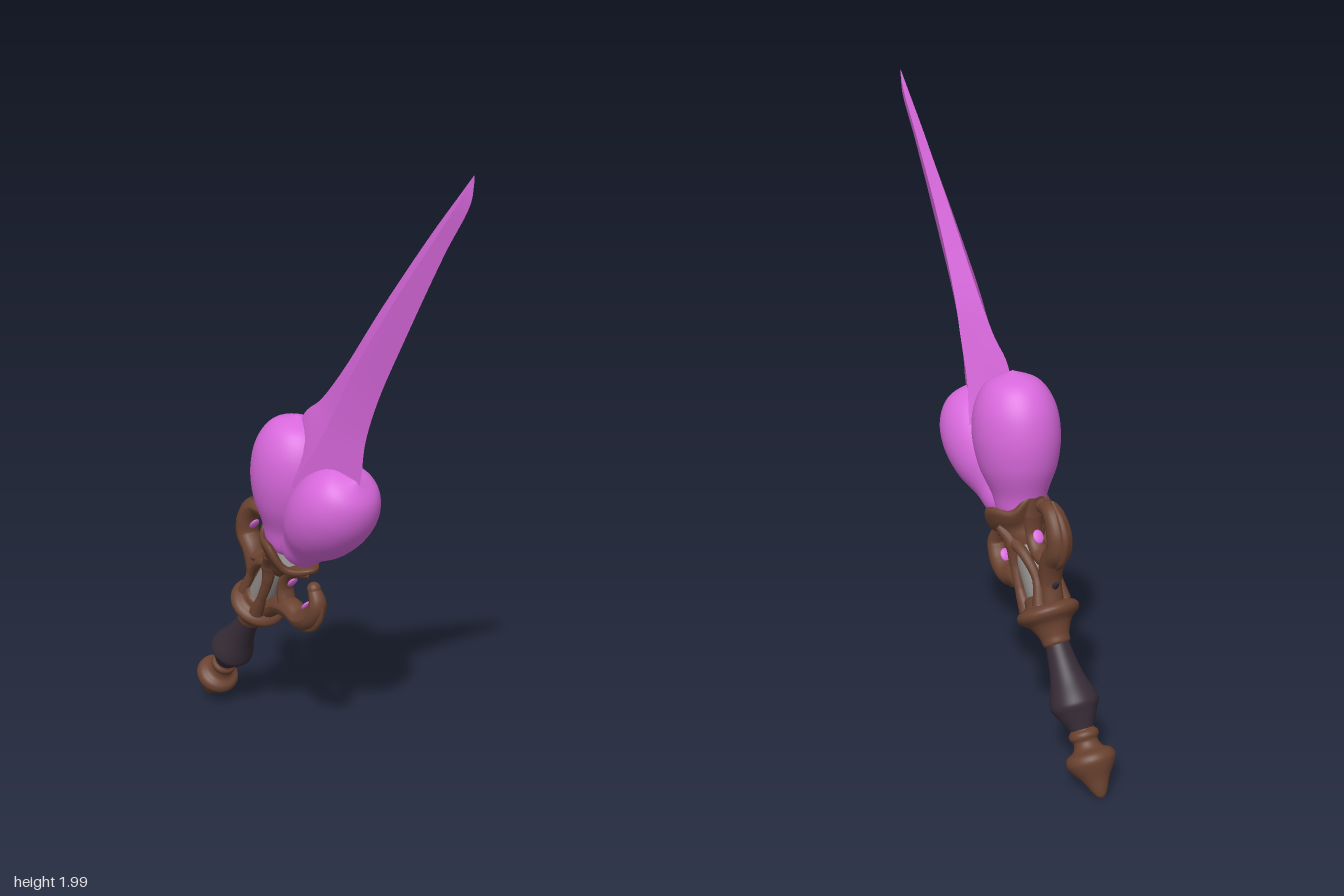
import * as THREE from 'three';

const mat = (name, color, side = THREE.FrontSide) => {
  const m = new THREE.MeshStandardMaterial({ color, side });
  m.name = name;
  return m;
};
const V = (x, y, z = 0) => new THREE.Vector3(x, y, z);

// Smoothed lathe through [radius, height] points
function lathe(points, samples = 40, segments = 40) {
  const curve = new THREE.CatmullRomCurve3(points.map(p => V(p[0], p[1])), false, 'centripetal');
  const profile = curve.getPoints(samples).map(p => new THREE.Vector2(Math.max(p.x, 0), p.y));
  return new THREE.LatheGeometry(profile, segments);
}

// Tube whose radius follows a list of values along its length
function taperedTube(points, radii, depth = 1, segs = 48, sides = 14) {
  const curve = new THREE.CatmullRomCurve3(points);
  const geo = new THREE.TubeGeometry(curve, segs, 1, sides);
  const pos = geo.attributes.position, p = new THREE.Vector3();
  for (let i = 0; i <= segs; i++) {
    const c = curve.getPointAt(i / segs);
    const f = (i / segs) * (radii.length - 1), k = Math.min(Math.floor(f), radii.length - 2);
    const r = THREE.MathUtils.lerp(radii[k], radii[k + 1], f - k);
    for (let j = 0; j <= sides; j++) {
      const n = i * (sides + 1) + j;
      p.fromBufferAttribute(pos, n).sub(c).multiplyScalar(r);
      pos.setXYZ(n, c.x + p.x, c.y + p.y, c.z + p.z * depth);
    }
  }
  geo.computeVertexNormals();
  return geo;
}

// Four-sided blade: each side is its own strip so that the ridges stay sharp
function bladeGeometry() {
  // left edge x,y | ridge x,y,z | right edge x,y
  const stations = [
    [-0.12, 1.08, 0.0, 1.0, 0.10, 0.16, 0.95],
    [-0.06, 1.205, 0.07, 1.12, 0.07, 0.21, 1.04],
    [0.02, 1.265, 0.14, 1.24, 0.055, 0.235, 1.18],
    [0.12, 1.37, 0.2, 1.36, 0.045, 0.29, 1.32],
    [0.3, 1.595, 0.345, 1.58, 0.028, 0.40, 1.52],
    [0.5, 1.83, 0.52, 1.81, 0.014, 0.555, 1.785],
    [0.61, 1.95, 0.62, 1.94, 0.008, 0.645, 1.925],
    [0.654, 1.998, 0.655, 1.997, 0.001, 0.656, 1.985],
  ];
  const rails = [
    s => V(s[0], s[1]), s => V(s[2], s[3], s[4]),
    s => V(s[5], s[6]), s => V(s[2], s[3], -s[4]),
  ].map(f => new THREE.CatmullRomCurve3(stations.map(f)));
  const N = 42, verts = [], index = [];
  for (let e = 0; e < 4; e++) {
    const base = verts.length / 3;
    for (let i = 0; i <= N; i++) {
      const a = rails[e].getPoint(i / N), b = rails[(e + 1) % 4].getPoint(i / N);
      verts.push(a.x, a.y, a.z, b.x, b.y, b.z);
      if (i < N) {
        const p = base + i * 2;
        index.push(p, p + 1, p + 3, p, p + 3, p + 2);
      }
    }
  }
  const geo = new THREE.BufferGeometry();
  geo.setAttribute('position', new THREE.Float32BufferAttribute(verts, 3));
  geo.setIndex(index);
  geo.computeVertexNormals();
  return geo;
}

export function createModel() {
  const crystal = mat('pink crystal', 0xd868dc);
  const bronze = mat('brown bronze', 0x6a4230);
  const bronzeShell = mat('brown bronze', 0x6a4230, THREE.DoubleSide);
  bronzeShell.name = 'brown bronze shell';
  const leather = mat('dark leather', 0x372c37);
  const steel = mat('grey steel', 0x8e8986);

  const model = new THREE.Group();
  model.name = 'crystalDagger';
  const add = (parent, name, geo, material) => {
    const m = new THREE.Mesh(geo, material);
    m.name = name;
    parent.add(m);
    return m;
  };

  // Crystal blade and its two swollen lobes
  add(model, 'blade', bladeGeometry(), crystal);
  const lobe = lathe([[0, -0.03], [0.07, 0], [0.097, 0.08], [0.135, 0.17], [0.15, 0.27],
    [0.135, 0.36], [0.09, 0.425], [0, 0.46]], 48, 48);
  const placeLobe = (name, x, y, angle, sx, sy, sz) => {
    const m = add(model, name, lobe, crystal);
    m.position.set(x, y, 0);
    m.rotation.z = angle;
    m.scale.set(sx, sy, sz);
  };
  placeLobe('rightLobe', -0.15, 0.735, -0.12, 1, 1, 0.88);
  placeLobe('leftLobe', -0.09, 0.74, -0.75, 0.9, 0.93, 0.93);

  // Hilt, built upright and then leaned over
  const hilt = new THREE.Group();
  hilt.name = 'hilt';
  hilt.position.set(-0.652, 0.004, 0);
  hilt.rotation.z = -THREE.MathUtils.degToRad(35);
  model.add(hilt);

  add(hilt, 'pommel', lathe([[0, 0], [0.015, 0.01], [0.042, 0.06], [0.07, 0.1], [0.077, 0.118],
    [0.07, 0.138], [0.046, 0.152], [0.038, 0.175], [0.046, 0.188], [0.046, 0.2],
    [0.038, 0.21], [0.034, 0.225]]), bronze);
  add(hilt, 'grip', lathe([[0.036, 0.21], [0.043, 0.225], [0.062, 0.26], [0.076, 0.287],
    [0.073, 0.31], [0.055, 0.365], [0.044, 0.42], [0.037, 0.485]]), leather);
  add(hilt, 'collar', lathe([[0.03, 0.47], [0.042, 0.478], [0.046, 0.5], [0.066, 0.54],
    [0.094, 0.563], [0.099, 0.578], [0.09, 0.592], [0.066, 0.605], [0.058, 0.63], [0, 0.645]]), bronze);

  // Steel core between the struts
  const core = add(hilt, 'core', new THREE.CylinderGeometry(0.05, 0.05, 0.2, 24), steel);
  core.position.y = 0.73;

  // Wavy crown that holds the crystal
  const crownGeo = lathe([[0.05, 0.79], [0.06, 0.815], [0.07, 0.845], [0.1, 0.875], [0.12, 0.9],
    [0.115, 0.915], [0.085, 0.9]], 30, 64);
  const cp = crownGeo.attributes.position;
  for (let i = 0; i < cp.count; i++) {
    const x = cp.getX(i), y = cp.getY(i), z = cp.getZ(i);
    const w = THREE.MathUtils.smoothstep(y, 0.83, 0.91), c = Math.cos(4 * Math.atan2(z, x));
    cp.setXYZ(i, x * (1 + w * (0.06 + 0.06 * c)), y + w * 0.018 * c, z * (1 - w * (0.16 - 0.05 * c)));
  }
  crownGeo.computeVertexNormals();
  add(hilt, 'crown', crownGeo, bronzeShell);

  for (const s of [-1, 1]) {
    // Curled hook
    const tip = V(s * 0.165, 0.878);
    add(hilt, 'hook', taperedTube([V(s * 0.045, 0.6), V(s * 0.075, 0.665), V(s * 0.125, 0.715),
      V(s * 0.185, 0.738), V(s * 0.214, 0.79), V(s * 0.208, 0.85), tip],
    [0.034, 0.032, 0.036, 0.037, 0.036, 0.03, 0.02], 1.1), bronze);
    add(hilt, 'hookTip', new THREE.SphereGeometry(0.023, 16, 12), bronze).position.copy(tip);
    // Ridge along the outside of the hook
    add(hilt, 'hookRidge', taperedTube([V(s * 0.11, 0.685), V(s * 0.18, 0.705), V(s * 0.235, 0.75),
      V(s * 0.246, 0.81), V(s * 0.228, 0.875)], [0.008, 0.016, 0.014, 0.012, 0.006]), bronze);
    // Side arm rising from the hook to the crown
    add(hilt, 'sideArm', taperedTube([V(s * 0.1, 0.715), V(s * 0.062, 0.755), V(s * 0.055, 0.81),
      V(s * 0.085, 0.865), V(s * 0.135, 0.91)], [0.024, 0.022, 0.02, 0.022, 0.012], 1.4), bronze);
    // Front and back struts
    add(hilt, 'strut', taperedTube([V(0.045, 0.6, s * 0.045), V(0.04, 0.67, s * 0.05),
      V(0.025, 0.75, s * 0.048), V(0, 0.81, s * 0.05), V(0, 0.87, s * 0.08)],
    [0.026, 0.016, 0.018, 0.026, 0.014]), bronze);
    add(hilt, 'strutBranch', taperedTube([V(-0.045, 0.6, s * 0.045), V(-0.058, 0.68, s * 0.035),
      V(-0.045, 0.76, s * 0.045), V(0, 0.82, s * 0.05)], [0.02, 0.014, 0.016, 0.02]), bronze);
    // Crystal slivers inside the hooks
    for (const [x, y] of [[0.174, 0.795], [0.08, 0.8]]) {
      const sliver = add(hilt, 'crystalSliver', new THREE.SphereGeometry(1, 12, 8), crystal);
      sliver.position.set(s * x, y, 0);
      sliver.scale.set(0.007, 0.022, 0.018);
    }
  }

  // Small dark stud on the outer side of the guard
  const stud = add(hilt, 'stud', new THREE.ConeGeometry(0.022, 0.06, 12), leather);
  stud.position.set(-0.1, 0.645, 0);
  stud.rotation.z = Math.PI / 2;

  return model;
}
